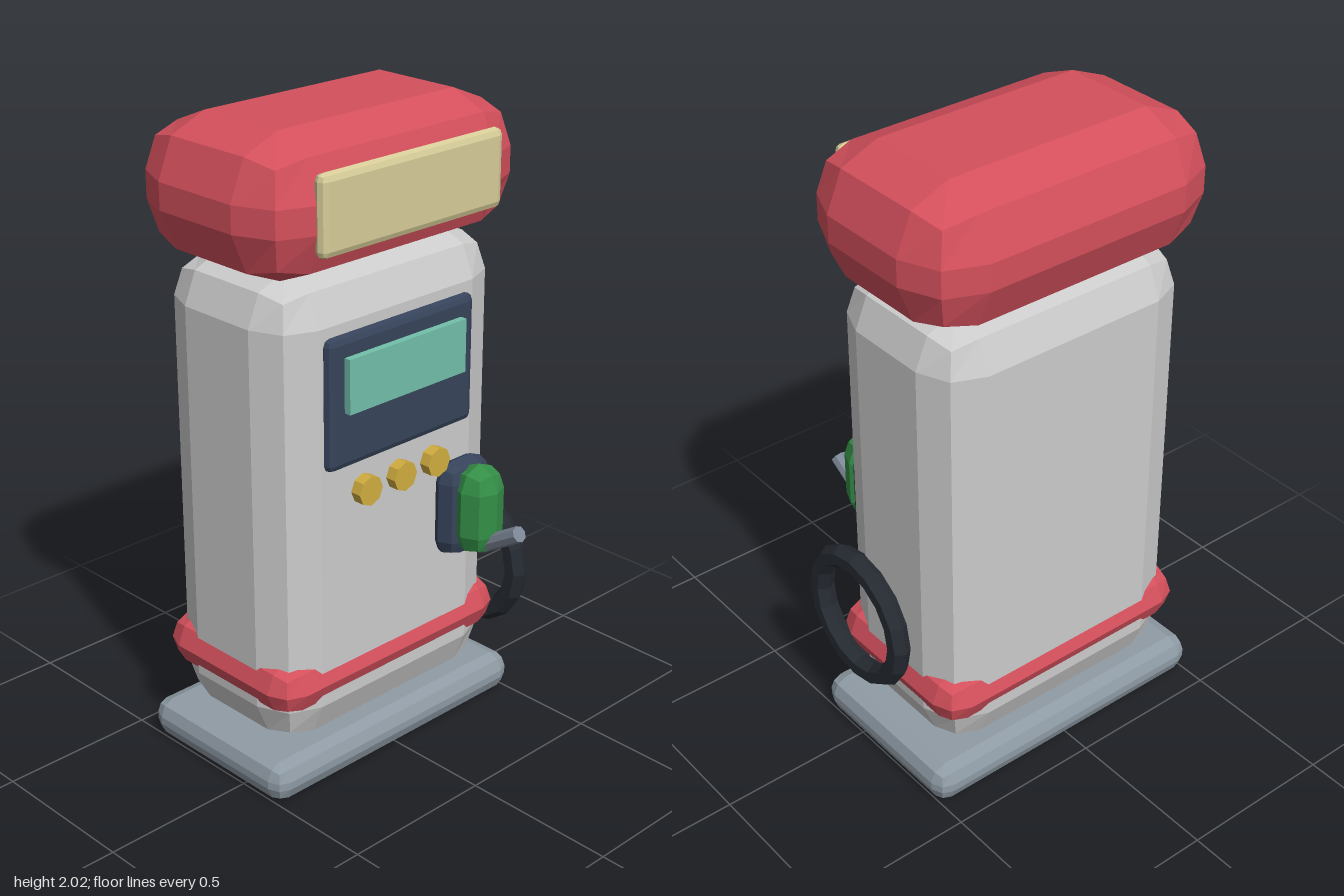
import * as THREE from 'three';
import { RoundedBoxGeometry } from 'three/addons/geometries/RoundedBoxGeometry.js';

const paint = (color) => new THREE.MeshStandardMaterial({ color, flatShading: true });

const grey = paint(0xcccccc);
const steel = paint(0x8f9ba5);
const red = paint(0xd4505c);
const cream = paint(0xd6cc98);
const navy = paint(0x36435a);
const teal = paint(0x72bfaa);
const gold = paint(0xd0ac40);
const green = paint(0x348f47);
const rubber = paint(0x262b32);
const spoutMetal = paint(0x7d8797);

export function createModel() {
  const model = new THREE.Group();
  model.name = 'fuelPump';

  const add = (name, geometry, material, x, y, z) => {
    const mesh = new THREE.Mesh(geometry, material);
    mesh.name = name;
    mesh.position.set(x, y, z);
    model.add(mesh);
    return mesh;
  };

  // Low-poly box with a single bevel step on each edge
  const bevelBox = (name, material, [w, h, d], radius, [x, y, z]) =>
    add(name, new RoundedBoxGeometry(w, h, d, 1, radius), material, x, y, z);

  // Cabinet, stacked from the ground up
  const midZ = -0.122;
  bevelBox('base', steel, [1.03, 0.125, 0.605], 0.05, [0, 0.0615, midZ]);
  bevelBox('body', grey, [0.9, 1.49, 0.552], 0.14, [0, 0.863, midZ]);
  bevelBox('trimBand', red, [0.94, 0.17, 0.583], 0.085, [0, 0.335, midZ]);
  bevelBox('head', red, [1.028, 0.427, 0.647], 0.172, [0, 1.803, midZ]);
  bevelBox('headSign', cream, [0.715, 0.24, 0.045], 0.0225, [0, 1.813, 0.2]);

  // Display panel
  bevelBox('displayPanel', navy, [0.595, 0.408, 0.045], 0.0225, [0, 1.232, 0.155]);
  add('displayScreen', new THREE.BoxGeometry(0.475, 0.168, 0.04), teal, 0, 1.29, 0.18);

  // Row of push buttons
  const buttonGeometry = new THREE.CylinderGeometry(0.047, 0.047, 0.06, 8).rotateX(Math.PI / 2);
  for (const x of [-0.143, 0, 0.143]) add('button', buttonGeometry, gold, x, 0.935, 0.16);

  // Nozzle in its holder, with the spout tilted up and forward
  bevelBox('nozzleHolder', navy, [0.2, 0.315, 0.12], 0.06, [0.26, 0.753, 0.172]);
  bevelBox('nozzleGrip', green, [0.155, 0.3, 0.155], 0.077, [0.26, 0.762, 0.245]);
  const spout = add('nozzleSpout', new THREE.CylinderGeometry(0.026, 0.026, 0.18, 8), spoutMetal, 0.26, 0.688, 0.338);
  spout.rotation.x = 1.03;

  // Coiled hose hung on the side
  const hose = add('hose', new THREE.TorusGeometry(0.2, 0.037, 6, 16), rubber, 0.475, 0.455, 0.022);
  hose.rotation.y = Math.PI / 2;

  return model;
}
